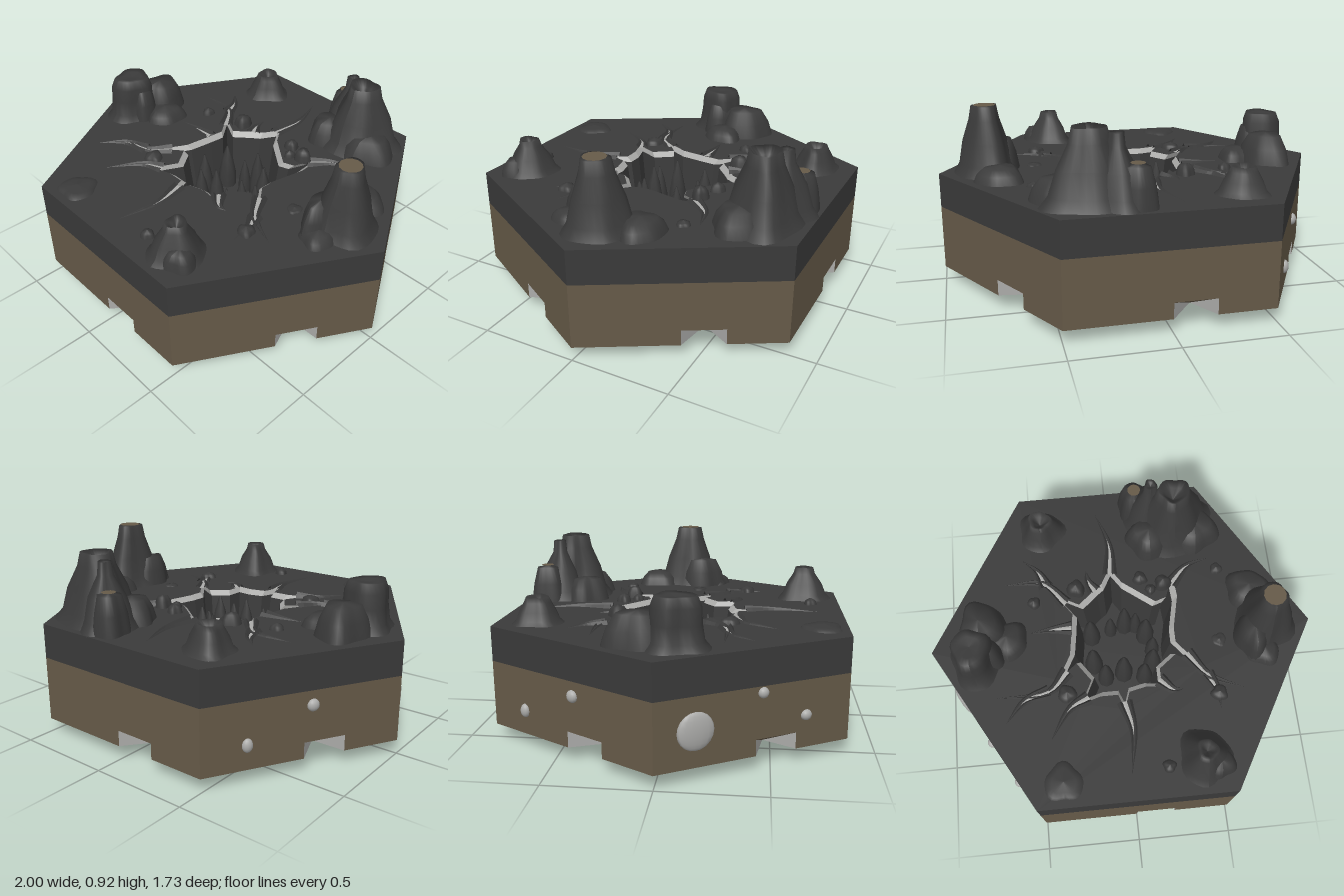
import * as THREE from 'three';

const mat = (name, color, side = THREE.FrontSide) => {
  const m = new THREE.MeshStandardMaterial({ color, side });
  m.name = name;
  return m;
};
const basalt = mat('basalt', 0x3a3a3a, THREE.DoubleSide);
const earth = mat('earth', 0x665a48, THREE.DoubleSide);
const paleStone = mat('pale stone', 0xacacaa, THREE.DoubleSide);

const TOP = 0.575, BAND = 0.4, BASE = 0.07, D = 0.866;
const V2 = (x, y) => new THREE.Vector2(x, y);

// One triangle or quad strip between rows of 3D points
function loft(rows, closed) {
  const pos = [], n = rows[0].length;
  for (let r = 0; r < rows.length - 1; r++)
    for (let i = 0; i < (closed ? n : n - 1); i++) {
      const j = (i + 1) % n, a = rows[r][i], b = rows[r][j], c = rows[r + 1][j], d = rows[r + 1][i];
      pos.push(...a, ...b, ...c, ...a, ...c, ...d);
    }
  const g = new THREE.BufferGeometry();
  g.setAttribute('position', new THREE.Float32BufferAttribute(pos, 3));
  g.computeVertexNormals();
  return g;
}

export function createModel() {
  const root = new THREE.Group();
  root.name = 'volcanicHexTile';
  const add = (name, geo, m, parent = root) => {
    const mesh = new THREE.Mesh(geo, m);
    mesh.name = name;
    parent.add(mesh);
    return mesh;
  };
  // Point on hex side i: u along the side, d outwards
  const onSide = (i, u, d) => {
    const a = i * Math.PI / 3, c = Math.cos(a), s = Math.sin(a);
    return V2(u * c + d * s, -u * s + d * c);
  };

  // Six side walls, each with a connector notch in its lower edge
  const under = [];
  for (let i = 0; i < 6; i++) {
    const side = new THREE.Group();
    side.name = 'side' + i;
    side.rotation.y = i * Math.PI / 3;
    root.add(side);
    const wall = new THREE.Shape([V2(-0.5, BASE), V2(0, BASE), V2(0, 0.15), V2(0.21, 0.15),
      V2(0.21, BASE), V2(0.5, BASE), V2(0.5, BAND), V2(-0.5, BAND)]);
    add('earthWall', new THREE.ShapeGeometry(wall), earth, side).position.z = D;
    add('basaltBand', new THREE.PlaneGeometry(1, TOP - BAND), basalt, side).position.set(0, (TOP + BAND) / 2, D);
    const apex = [0.12, BASE, D - 0.15];
    const tri = (name, a, b, m) => add(name, loft([[a, b], [apex, apex]]), m, side);
    tri('notchLeft', [0, BASE, D], [0, 0.15, D], paleStone);
    tri('notchRight', [0.21, 0.15, D], [0.21, BASE, D], paleStone);
    tri('notchRoof', [0, 0.15, D], [0.21, 0.15, D], earth);
    under.push(onSide(i, -0.5, D), onSide(i, 0, D), onSide(i, 0.12, D - 0.15), onSide(i, 0.21, D));
  }

  // Underside plate and its stepped rings
  const plate = new THREE.Shape(under);
  plate.holes.push(new THREE.Path().absarc(0, 0, 0.68, 0, Math.PI * 2));
  const plateMesh = add('undersidePlate', new THREE.ShapeGeometry(plate, 24), basalt);
  plateMesh.rotation.x = Math.PI / 2;
  plateMesh.position.y = BASE;
  const ring = (name, pts, m) => add(name, new THREE.LatheGeometry(pts.map(p => V2(...p)), 48), m);
  ring('undersideCentre', [[0, 0.004], [0.17, 0.004], [0.18, 0]], earth);
  ring('undersideInnerRing', [[0.18, 0], [0.2, 0], [0.26, 0.032], [0.35, 0.034]], basalt);
  ring('undersideMiddleRing', [[0.35, 0.034], [0.38, 0.045], [0.42, 0.07], [0.46, 0.085]], earth);
  ring('undersideOuterRing', [[0.46, 0.085], [0.52, 0.1], [0.6, 0.1], [0.65, 0.085], [0.68, BASE]], basalt);

  // Star-shaped crater mouth
  const rim = [[-0.03, -0.4], [0.03, -0.31], [0.2, -0.18], [0.26, -0.2], [0.31, -0.33], [0.32, -0.2],
    [0.28, -0.02], [0.28, 0.06], [0.4, 0.21], [0.27, 0.13], [0.18, 0.2], [0.18, 0.3], [0.1, 0.29],
    [0.01, 0.31], [-0.02, 0.4], [-0.05, 0.32], [-0.14, 0.32], [-0.24, 0.35], [-0.18, 0.23],
    [-0.25, 0.13], [-0.35, 0.21], [-0.28, 0.08], [-0.26, -0.06], [-0.25, -0.15], [-0.34, -0.27],
    [-0.21, -0.2], [-0.12, -0.28], [-0.08, -0.31]];
  const level = (s, y) => rim.map(([x, z]) => [x * s, y, z * s]);
  const ground = new THREE.Shape([0, 1, 2, 3, 4, 5].map(i => onSide(i, -0.5, D)));
  ground.holes.push(new THREE.Path(rim.map(([x, z]) => V2(x, -z))));
  const groundMesh = add('ground', new THREE.ShapeGeometry(ground), basalt);
  groundMesh.rotation.x = -Math.PI / 2;
  groundMesh.position.y = TOP;
  add('craterLedge', loft([level(1, TOP), level(0.91, 0.55)], true), paleStone);
  add('craterWall', loft([level(0.91, 0.55), level(0.8, 0.28)], true), basalt);
  const floor = add('craterFloor', new THREE.CircleGeometry(0.36, 28), basalt);
  floor.rotation.x = -Math.PI / 2;
  floor.position.y = 0.285;

  // Spires inside the crater: x, z, radius, tip height
  [[-0.16, -0.11, 0.05, 0.54], [-0.05, -0.14, 0.035, 0.48], [0.03, -0.16, 0.045, 0.56], [0.09, -0.15, 0.035, 0.5],
    [0.14, -0.09, 0.05, 0.55], [0.17, 0.0, 0.04, 0.5], [0.16, 0.09, 0.05, 0.57], [0.11, 0.15, 0.045, 0.52],
    [0.0, 0.12, 0.05, 0.57], [-0.1, 0.14, 0.045, 0.53], [-0.16, 0.06, 0.05, 0.56]].forEach(([x, z, r, tip]) => {
    const h = tip - 0.28;
    const pts = [[r, 0], [r * 0.95, h * 0.35], [r * 0.6, h * 0.7], [0.004, h]].map(p => V2(...p));
    add('spire', new THREE.LatheGeometry(pts, 8), basalt).position.set(x, 0.28, z);
  });

  // Cracks: pale strip near the crater between two raised, tapering lips
  function ribbon(name, path, offset, width, height, portion, m) {
    const curve = new THREE.CatmullRomCurve3(path.map(([x, z]) => new THREE.Vector3(x, TOP, z)));
    const rows = [];
    for (let k = 0; k <= 10; k++) {
      const t = k / 10 * portion, p = curve.getPoint(t), d = curve.getTangent(t), f = 1 - k / 10;
      const at = (o, y) => [p.x - d.z * o * f, TOP + y, p.z + d.x * o * f];
      rows.push([at(offset - width / 2, 0.001), at(offset, 0.001 + height * f), at(offset + width / 2, 0.001)]);
    }
    add(name, loft(rows), m);
  }
  [[[-0.03, -0.36], [-0.02, -0.54], [-0.08, -0.74]], [[0.29, -0.27], [0.39, -0.37], [0.52, -0.41]],
    [[0.33, 0.13], [0.43, 0.26], [0.6, 0.34]], [[0.42, 0.25], [0.46, 0.34], [0.47, 0.44]],
    [[0.17, 0.26], [0.24, 0.32], [0.29, 0.32]],
    [[-0.02, 0.36], [0.01, 0.51], [-0.02, 0.74]], [[-0.2, 0.32], [-0.3, 0.37], [-0.41, 0.53]],
    [[-0.3, 0.17], [-0.4, 0.27], [-0.68, 0.28]], [[-0.4, 0.27], [-0.53, 0.31], [-0.63, 0.42]],
    [[-0.26, -0.07], [-0.36, -0.07], [-0.48, -0.06]], [[-0.28, -0.21], [-0.4, -0.34], [-0.61, -0.35]],
    [[-0.38, -0.32], [-0.42, -0.41], [-0.5, -0.49]], [[-0.12, -0.27], [-0.15, -0.33], [-0.16, -0.4]]
  ].forEach(path => {
    ribbon('crackFloor', path, 0, 0.035, 0.003, 0.6, paleStone);
    ribbon('crackLip', path, -0.026, 0.03, 0.02, 1, basalt);
    ribbon('crackLip', path, 0.026, 0.03, 0.02, 1, basalt);
  });

  // Lumpy mounds: profile is [radius, height], wobbled around the axis
  function mound(name, x, z, profile, seed, sx = 1, sz = 1, capRadius = 0) {
    const geo = new THREE.LatheGeometry(profile.map(p => V2(...p)), 28);
    const p = geo.attributes.position;
    for (let i = 0; i < p.count; i++) {
      const a = Math.atan2(p.getZ(i), p.getX(i));
      const k = 1 + 0.09 * Math.sin(3 * a + seed) + 0.05 * Math.sin(5 * a + seed * 2.3 + p.getY(i) * 5);
      p.setXYZ(i, p.getX(i) * k * sx, p.getY(i), p.getZ(i) * k * sz);
    }
    geo.computeVertexNormals();
    add(name, geo, basalt).position.set(x, 0, z);
    if (capRadius) {
      const cap = add(name + 'Cap', new THREE.CircleGeometry(capRadius, 12), earth);
      cap.rotation.x = -Math.PI / 2;
      cap.position.set(x, profile[profile.length - 1][1] + 0.003, z);
    }
  }
  // Flat-topped rock profile, and cone with a hollow top
  const rock = (r, y) => [[r, 0.57], [r * 0.85, TOP + (y - TOP) * 0.5], [r * 0.6, y - 0.01], [0, y]];
  const cone = (r, rTop, y, dip) => {
    const h = y - TOP;
    return [[r, 0.57], [r * 0.8, TOP + h * 0.15], [r * 0.55 + rTop * 0.3, TOP + h * 0.48],
      [rTop * 1.2, TOP + h * 0.8], [rTop, y], [rTop * 0.6, y - dip * 0.4], [0, y - dip]];
  };

  mound('rightVolcano', 0.755, -0.01, cone(0.17, 0.064, 0.92, 0), 1, 0.95, 1.1, 0.056);
  mound('rightShoulder', 0.7, -0.2, rock(0.12, 0.655), 2);
  mound('rightShoulder', 0.68, 0.07, rock(0.11, 0.74), 4, 0.8, 1.2);
  mound('rightFoot', 0.73, 0.15, rock(0.09, 0.63), 5);

  mound('backVolcano', 0.335, -0.64, cone(0.215, 0.075, 0.92, 0.09), 3, 1.05, 0.95);
  mound('backPeak', 0.22, -0.7, cone(0.15, 0.032, 0.9, 0.02), 0.6);
  mound('backShoulder', 0.14, -0.755, rock(0.1, 0.77), 2.2, 0.9, 0.95, 0.035);
  mound('backFoot', 0.45, -0.58, rock(0.14, 0.69), 1.4);
  mound('backFoot', 0.2, -0.55, rock(0.12, 0.7), 3.3);

  mound('leftVolcano', -0.765, 0.07, cone(0.145, 0.085, 0.81, 0.01), 2.7, 0.95, 1.1);
  mound('leftShoulder', -0.73, -0.1, rock(0.13, 0.73), 1.1, 1, 1.2);
  mound('leftStep', -0.71, 0.05, rock(0.09, 0.75), 0.4, 1, 1, 0.03);
  mound('leftFoot', -0.6, -0.03, rock(0.11, 0.645), 4);

  mound('backLeftVent', -0.385, -0.66, cone(0.13, 0.055, 0.705, 0.06), 2);
  mound('frontVent', 0.35, 0.68, cone(0.15, 0.05, 0.75, 0.05), 1.7, 0.9, 1);
  mound('frontVentFoot', 0.42, 0.72, rock(0.08, 0.66), 1);

  // Scattered rocks: x, z, radius, top height
  [[-0.36, 0.74, 0.1, 0.6], [-0.31, 0.29, 0.05, 0.61], [0.17, 0.71, 0.035, 0.61], [-0.45, -0.23, 0.035, 0.61],
    [-0.22, -0.29, 0.05, 0.635], [0.13, -0.32, 0.04, 0.62], [0.25, -0.28, 0.045, 0.64], [0.18, -0.25, 0.03, 0.61],
    [0.51, 0.07, 0.04, 0.59], [0.47, 0.36, 0.045, 0.61], [0.55, -0.34, 0.035, 0.6]
  ].forEach(([x, z, r, y], i) => mound('looseRock', x, z, rock(r, y), i * 1.3));

  // Pale stones set in the left-hand side walls: x, y, z, side, width, height
  [[-0.9, 0.24, 0.173, 5, 0.09, 0.09], [-0.735, 0.37, 0.46, 5, 0.026, 0.026], [-0.62, 0.23, 0.658, 5, 0.028, 0.026],
    [-0.61, 0.19, -0.675, 4, 0.026, 0.034], [-0.77, 0.33, -0.4, 4, 0.03, 0.03]].forEach(([x, y, z, side, w, h]) => {
    const stone = add('embeddedStone', new THREE.SphereGeometry(1, 14, 10), paleStone);
    stone.position.set(x, y, z);
    stone.rotation.y = side * Math.PI / 3;
    stone.scale.set(w, h, 0.022);
  });
  return root;
}
